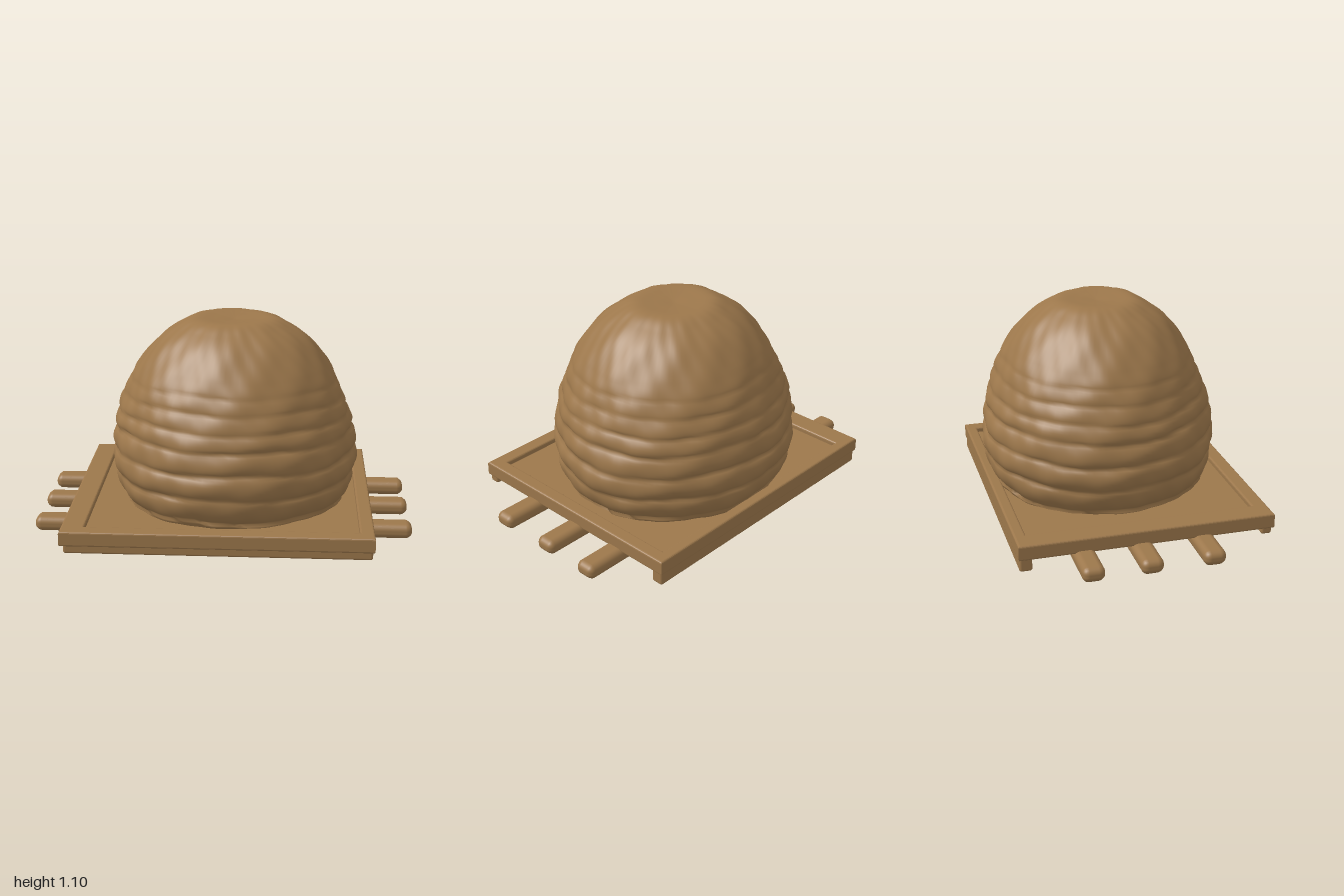
import * as THREE from 'three';
import { mergeVertices } from 'three/addons/utils/BufferGeometryUtils.js';
import { RoundedBoxGeometry } from 'three/addons/geometries/RoundedBoxGeometry.js';

const clay = new THREE.MeshStandardMaterial({ color: 0x9c774b });
clay.name = 'clay brown';

function add(group, name, geometry, x = 0, y = 0, z = 0) {
  const mesh = new THREE.Mesh(geometry, clay);
  mesh.name = name;
  mesh.position.set(x, y, z);
  group.add(mesh);
  return mesh;
}

// Rounded bar given by its extents
function bar(group, name, [x0, x1], [y0, y1], [z0, z1], radius) {
  const geometry = new RoundedBoxGeometry(x1 - x0, y1 - y0, z1 - z0, 3, radius);
  return add(group, name, geometry, (x0 + x1) / 2, (y0 + y1) / 2, (z0 + z1) / 2);
}

// Smooth, deterministic unevenness around the dome
function lumps(a, y) {
  return 0.005 * Math.sin(3 * a + 5 * y + 1) + 0.004 * Math.sin(7 * a - 11 * y)
    + 0.003 * Math.sin(13 * a + 23 * y + 2) + 0.002 * Math.sin(29 * a - 31 * y);
}

// Coiled dome: envelope profile with rounded courses pressed into the sides
function domeGeometry() {
  const envelope = new THREE.CatmullRomCurve3([
    [0.585, 0.11], [0.625, 0.18], [0.655, 0.27], [0.665, 0.36], [0.655, 0.46], [0.63, 0.58],
    [0.59, 0.69], [0.54, 0.8], [0.475, 0.9], [0.385, 1.0], [0.3, 1.06], [0.215, 1.1],
    [0.1, 1.098], [0, 1.09],
  ].map(([r, y]) => new THREE.Vector3(r, y, 0)));
  const profile = envelope.getSpacedPoints(110).map(p => new THREE.Vector2(Math.max(p.x, 0), p.y));
  profile[110].x = 0;
  let geometry = new THREE.LatheGeometry(profile, 128);

  const seams = [0.14, 0.28, 0.41, 0.53, 0.62, 0.71, 0.79, 0.87];
  const depths = [0.03, 0.034, 0.034, 0.028, 0.02, 0.014, 0.008];
  const pos = geometry.attributes.position;
  for (let i = 0; i < pos.count; i++) {
    const x = pos.getX(i), y = pos.getY(i), z = pos.getZ(i);
    const r = Math.hypot(x, z);
    if (r < 1e-4) continue;
    const a = Math.atan2(z, x);
    const fade = Math.min(1, r / 0.3);
    // Courses wander gently up and down around the dome
    const wy = y + 0.009 * Math.sin(2 * a + 1) + 0.006 * Math.sin(5 * a + 9 * y);
    let dent = 0;
    for (let k = 0; k < depths.length; k++) {
      if (wy < seams[k] || wy >= seams[k + 1]) continue;
      const t = (wy - seams[k]) / (seams[k + 1] - seams[k]);
      const d0 = depths[k], d1 = depths[k + 1] ?? 0;
      dent = (d0 + (d1 - d0) * t) * (1 - Math.sqrt(Math.sin(Math.PI * t)));
    }
    const grown = r + 0.004 - dent * (0.8 + 0.2 * Math.sin(4 * a + 17 * y)) + lumps(a, y) * fade;
    pos.setXYZ(i, x / r * grown, y + 0.003 * Math.sin(2 * a) * fade, z / r * grown * 0.94);
  }
  geometry.deleteAttribute('uv');
  geometry.deleteAttribute('normal');
  geometry = mergeVertices(geometry, 1e-4);
  geometry.computeVertexNormals();
  return geometry;
}

// Raised border of the tray, with a rectangular opening
function rimGeometry() {
  const rect = (Type, x0, x1, z0, z1) => {
    const path = new Type();
    path.moveTo(x0, -z1);
    path.lineTo(x1, -z1);
    path.lineTo(x1, -z0);
    path.lineTo(x0, -z0);
    path.closePath();
    return path;
  };
  const b = 0.01;
  const shape = rect(THREE.Shape, -0.81 + b, 0.785 - b, -0.66 + b, 0.665 - b);
  shape.holes.push(rect(THREE.Path, -0.69 - b, 0.71 + b, -0.6 - b, 0.585 + b));
  const geometry = new THREE.ExtrudeGeometry(shape, {
    depth: 0.08 - 2 * b, bevelEnabled: true, bevelThickness: b, bevelSize: b, bevelSegments: 3,
  });
  geometry.rotateX(-Math.PI / 2);
  geometry.translate(0, 0.07 + b, 0);
  return geometry;
}

export function createModel() {
  const model = new THREE.Group();
  model.name = 'domeOnTray';

  add(model, 'dome', domeGeometry(), 0.045, 0, -0.043);

  const tray = new THREE.Group();
  tray.name = 'tray';
  model.add(tray);
  add(tray, 'trayRim', rimGeometry());
  add(tray, 'trayFloor', new THREE.BoxGeometry(1.5, 0.05, 1.28), 0, 0.098, 0);
  bar(tray, 'frontSkirt', [-0.79, 0.775], [0.03, 0.12], [0.605, 0.66], 0.012);
  bar(tray, 'backSkirt', [-0.8, 0.78], [0.005, 0.12], [-0.655, -0.59], 0.012);

  // Carrying poles passing under the tray
  [0.285, -0.035, -0.33].forEach((z, i) => {
    const pole = bar(model, 'pole' + (i + 1), [-1, 1], [0.004, 0.084], [z - 0.057, z + 0.057], 0.034);
    const pos = pole.geometry.attributes.position;
    for (let v = 0; v < pos.count; v++) {
      if (Math.abs(pos.getX(v)) > 0.98) pos.setY(v, pos.getY(v) * 0.9);
    }
  });
  return model;
}
